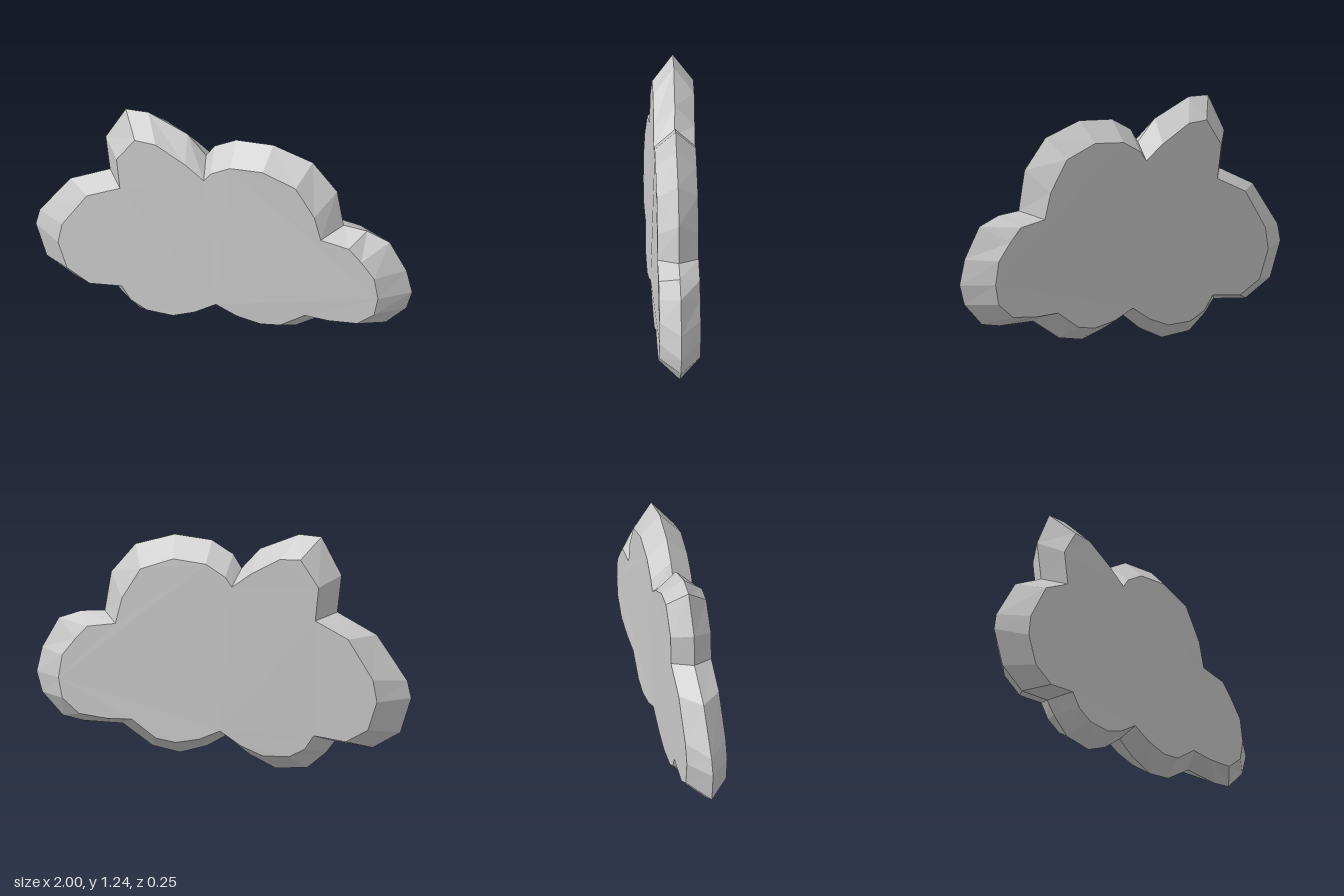
import * as THREE from 'three';

// Outline stations, counter-clockwise: [rim x, rim y, face x, face y]
const OUTLINE = [
  // left lobe, underside
  [-1, 0.42, -0.85, 0.41], [-0.94, 0.235, -0.8, 0.26], [-0.79, 0.145, -0.68, 0.19], [-0.59, 0.165, -0.51, 0.21],
  // two bottom lobes
  [-0.54, 0.1, -0.46, 0.135], [-0.44, 0.015, -0.375, 0.09], [-0.27, 0, -0.235, 0.085], [-0.13, 0.065, -0.12, 0.13],
  [-0.01, 0.155, -0.01, 0.2], [0.09, 0.095, 0.1, 0.15], [0.235, 0.05, 0.225, 0.125], [0.38, 0.075, 0.33, 0.14],
  // right lobe
  [0.54, 0.18, 0.46, 0.23], [0.75, 0.18, 0.59, 0.225], [0.86, 0.2, 0.74, 0.24], [0.97, 0.315, 0.83, 0.315],
  [1, 0.42, 0.85, 0.42], [0.97, 0.55, 0.83, 0.54], [0.88, 0.71, 0.76, 0.63], [0.76, 0.755, 0.695, 0.7],
  // upper right lobe
  [0.635, 0.765, 0.545, 0.725], [0.6, 0.97, 0.51, 0.86], [0.47, 1.125, 0.41, 1.02], [0.26, 1.19, 0.235, 1.085],
  [0.06, 1.175, 0.06, 1.07], [-0.055, 1.11, -0.045, 1.01],
  // upper left lobe
  [-0.1, 1.04, -0.08, 0.96], [-0.2, 1.15, -0.18, 1.035], [-0.41, 1.24, -0.34, 1.125], [-0.53, 1.235, -0.45, 1.13],
  [-0.635, 1.04, -0.545, 0.99], [-0.61, 0.845, -0.525, 0.815],
  // left lobe, top
  [-0.82, 0.74, -0.7, 0.73], [-0.98, 0.51, -0.83, 0.525],
];
const HALF_DEPTH = 0.105;

// Slight twist of the middle plane, stronger on the left half
function midZ(x, y) {
  const left = THREE.MathUtils.smoothstep(-x, -0.3, 0.3);
  return THREE.MathUtils.lerp(0.008 - 0.01 * y, 0.022 - 0.034 * y, left);
}

export function createModel() {
  const n = OUTLINE.length;
  const positions = [];
  const index = [];

  // Three rings: front face edge, rim, back face edge
  for (const [rx, ry, fx, fy] of OUTLINE) {
    positions.push(fx, fy, midZ(fx, fy) + HALF_DEPTH);
    positions.push(rx, ry, midZ(rx, ry));
    positions.push(fx, fy, midZ(fx, fy) - HALF_DEPTH);
  }

  // Bevels joining the rings
  for (let i = 0; i < n; i++) {
    const j = (i + 1) % n;
    for (let k = 0; k < 2; k++) {
      const a = i * 3 + k, b = j * 3 + k;
      index.push(a, a + 1, b + 1, a, b + 1, b);
    }
  }

  // Front and back faces
  const face = OUTLINE.map(([, , x, y]) => new THREE.Vector2(x, y));
  for (const [a, b, c] of THREE.ShapeUtils.triangulateShape(face, [])) {
    index.push(a * 3, b * 3, c * 3);
    index.push(a * 3 + 2, c * 3 + 2, b * 3 + 2);
  }

  const geometry = new THREE.BufferGeometry();
  geometry.setAttribute('position', new THREE.Float32BufferAttribute(positions, 3));
  geometry.setIndex(index);
  geometry.computeVertexNormals();

  const material = new THREE.MeshStandardMaterial({ color: 0xcccccc, flatShading: true });
  const cloud = new THREE.Mesh(geometry, material);
  cloud.name = 'cloud';

  const group = new THREE.Group();
  group.name = 'cloudModel';
  group.add(cloud);
  return group;
}
